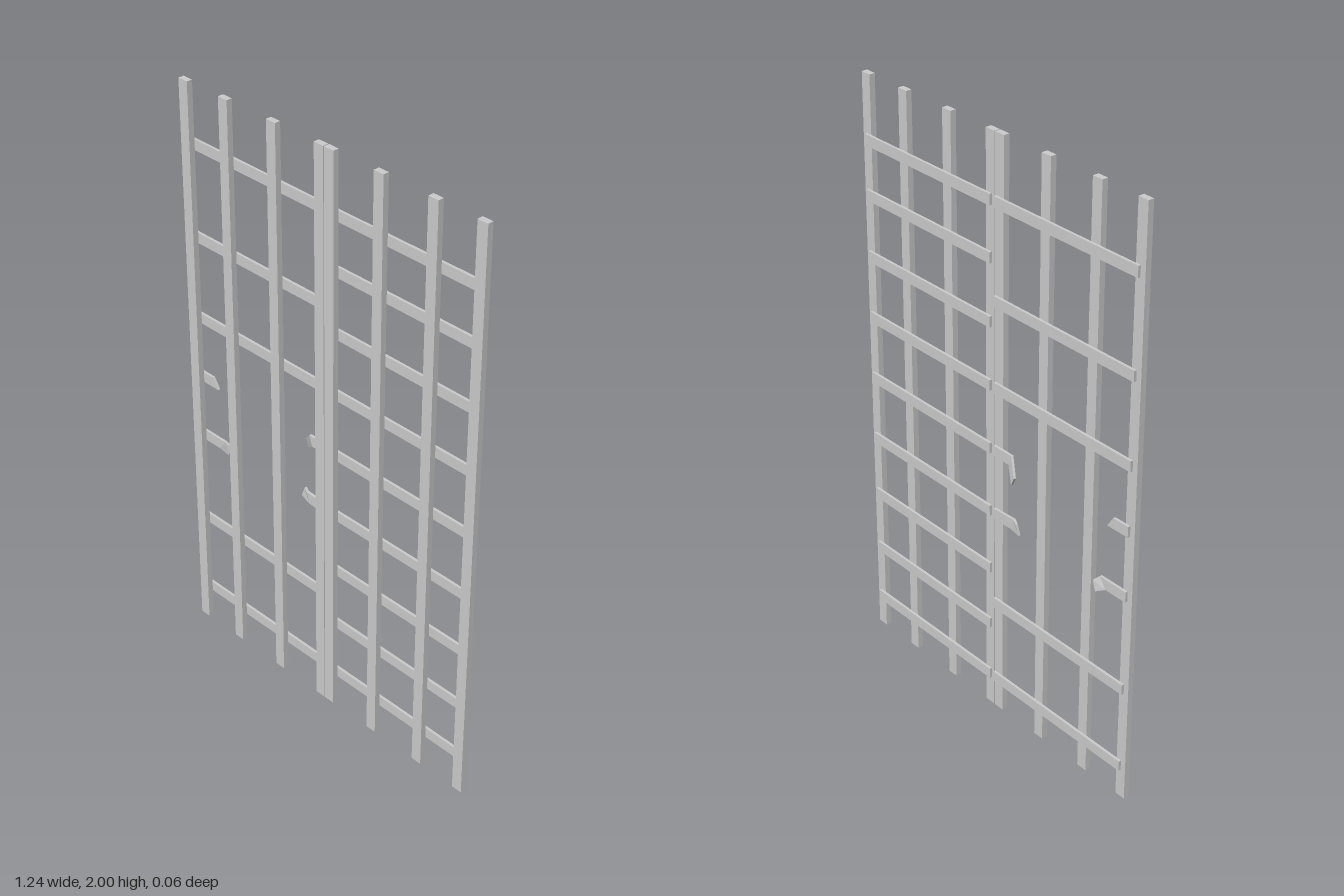
import * as THREE from 'three';

const material = new THREE.MeshStandardMaterial({ color: 0xcccccc, flatShading: true });
const RAIL_H = 0.036, RAIL_T = 0.009;

// Box spanning two opposite corners
function bar(name, x0, x1, y0, y1, z0, z1) {
  const mesh = new THREE.Mesh(new THREE.BoxGeometry(x1 - x0, y1 - y0, z1 - z0), material);
  mesh.position.set((x0 + x1) / 2, (y0 + y1) / 2, (z0 + z1) / 2);
  mesh.name = name;
  return mesh;
}

// Bent strip through sections [topX, topY, bottomX, bottomY, backZ], listed towards +x
function brokenRail(name, sections) {
  const rings = sections.map(([tx, ty, bx, by, z]) => [
    [tx, ty, z], [tx, ty, z + RAIL_T], [bx, by, z + RAIL_T], [bx, by, z],
  ]);
  const pos = [];
  const quad = (a, b, c, d) => pos.push(...a, ...b, ...c, ...a, ...c, ...d);
  for (let i = 0; i < rings.length - 1; i++) {
    const a = rings[i], b = rings[i + 1];
    for (let j = 0; j < 4; j++) {
      const k = (j + 1) % 4;
      quad(a[j], a[k], b[k], b[j]);
    }
  }
  const first = rings[0], last = rings[rings.length - 1];
  quad(first[3], first[2], first[1], first[0]);
  quad(...last);
  const geometry = new THREE.BufferGeometry();
  geometry.setAttribute('position', new THREE.Float32BufferAttribute(pos, 3));
  geometry.computeVertexNormals();
  const mesh = new THREE.Mesh(geometry, material);
  mesh.name = name;
  return mesh;
}

// One gate leaf: uprights in front, rails fixed behind them
function leaf(name, uprights, rails, x0, x1) {
  const group = new THREE.Group();
  group.name = name;
  for (const x of uprights) group.add(bar('upright', x - 0.019, x + 0.019, 0, 2, RAIL_T, 0.029));
  for (const y of rails) group.add(bar('rail', x0, x1, y - RAIL_H / 2, y + RAIL_H / 2, 0, RAIL_T));
  return group;
}

export function createModel() {
  const model = new THREE.Group();
  model.name = 'barredGate';

  const intact = leaf('leftLeaf', [0.02, 0.215, 0.42, 0.597],
    [0.12, 0.32, 0.532, 0.745, 0.97, 1.188, 1.4, 1.608, 1.79], 0.012, 0.6);
  const damaged = leaf('rightLeaf', [-0.6, -0.424, -0.218, -0.021],
    [0.12, 0.41, 1.188, 1.475, 1.79], -0.6, -0.006);

  // Snapped rails with their ends bent backwards
  damaged.add(
    brokenRail('upperOuterStub', [
      [-0.6, 0.988, -0.6, 0.952, 0],
      [-0.538, 0.988, -0.514, 0.952, 0],
    ]),
    brokenRail('lowerOuterStub', [
      [-0.6, 0.763, -0.6, 0.727, 0],
      [-0.49, 0.763, -0.515, 0.727, 0],
      [-0.471, 0.745, -0.482, 0.709, -0.01],
    ]),
    brokenRail('upperInnerStub', [
      [-0.134, 0.94, -0.122, 0.912, -0.029],
      [-0.088, 0.988, -0.075, 0.952, 0],
      [-0.006, 0.988, -0.006, 0.952, 0],
    ]),
    brokenRail('lowerInnerStub', [
      [-0.124, 0.766, -0.138, 0.732, -0.012],
      [-0.1, 0.767, -0.09, 0.728, 0],
      [-0.006, 0.763, -0.006, 0.727, 0],
    ]),
  );

  model.add(intact, damaged);
  return model;
}
